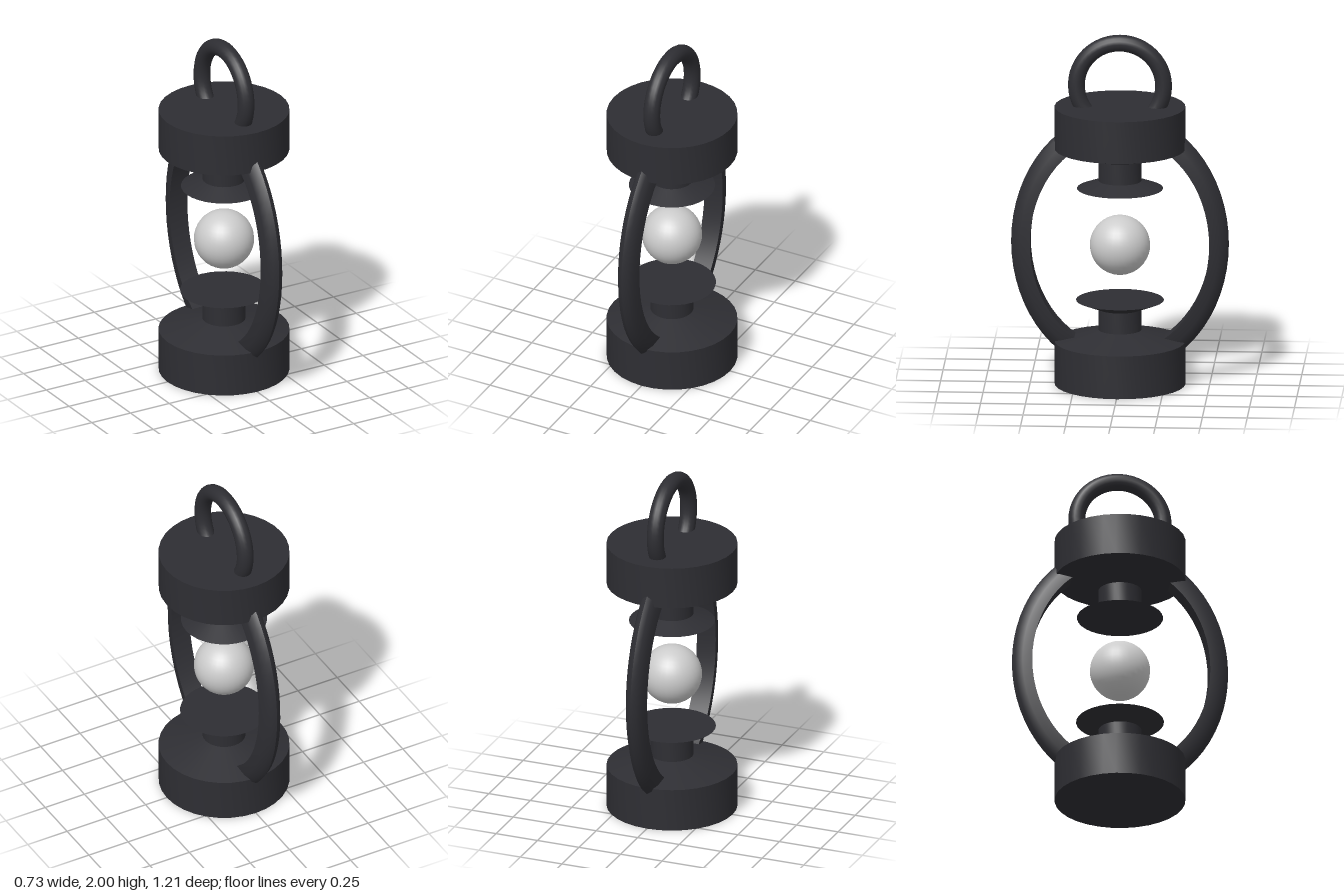
import * as THREE from 'three';
import { toCreasedNormals } from 'three/addons/utils/BufferGeometryUtils.js';

const dark = new THREE.MeshStandardMaterial({ color: 0x2e2e33 });
const grey = new THREE.MeshStandardMaterial({ color: 0xcccccc });

// Revolve a [radius, height] profile, keeping its edges sharp
function turned(profile, segments) {
  return new THREE.LatheGeometry(profile.map(([r, y]) => new THREE.Vector2(r, y)), segments);
}

export function createModel() {
  const model = new THREE.Group();
  const add = (name, geometry, material = dark) => {
    const mesh = new THREE.Mesh(geometry, material);
    mesh.name = name;
    model.add(mesh);
    return mesh;
  };

  // Base: drum, sloped shoulder, neck and flared dish
  add('base', toCreasedNormals(turned([
    [0, 0], [0.365, 0], [0.365, 0.245], [0.12, 0.31],
    [0.12, 0.43], [0.245, 0.48], [0, 0.48],
  ], 32), 0.5));

  // Cap: the same stack, hanging upside down
  add('cap', toCreasedNormals(turned([
    [0, 1.12], [0.24, 1.12], [0.12, 1.165], [0.12, 1.285],
    [0.365, 1.35], [0.365, 1.59], [0, 1.59],
  ], 32), 0.5));

  // Side arms: one oval hoop with a flat inside and a rounded outside,
  // its top and bottom buried in the cap and base
  const section = [];
  for (let i = 0; i <= 6; i++) {
    const a = -Math.PI / 2 + (i * Math.PI) / 6;
    section.push([0.5 + 0.107 * Math.cos(a), 0.057 * Math.sin(a)]);
  }
  section.push(section[0]);
  const hoop = turned(section, 64).rotateZ(-Math.PI / 2).scale(1, 1.24, 1);
  add('sideArms', toCreasedNormals(hoop, 0.9)).position.y = 0.81;

  // Carrying ring on top
  add('handle', new THREE.TorusGeometry(0.243, 0.047, 16, 48).rotateY(Math.PI / 2))
    .position.y = 1.71;

  // Floating globe between the dishes
  add('globe', new THREE.SphereGeometry(0.168, 32, 20), grey).position.y = 0.795;

  return model;
}
